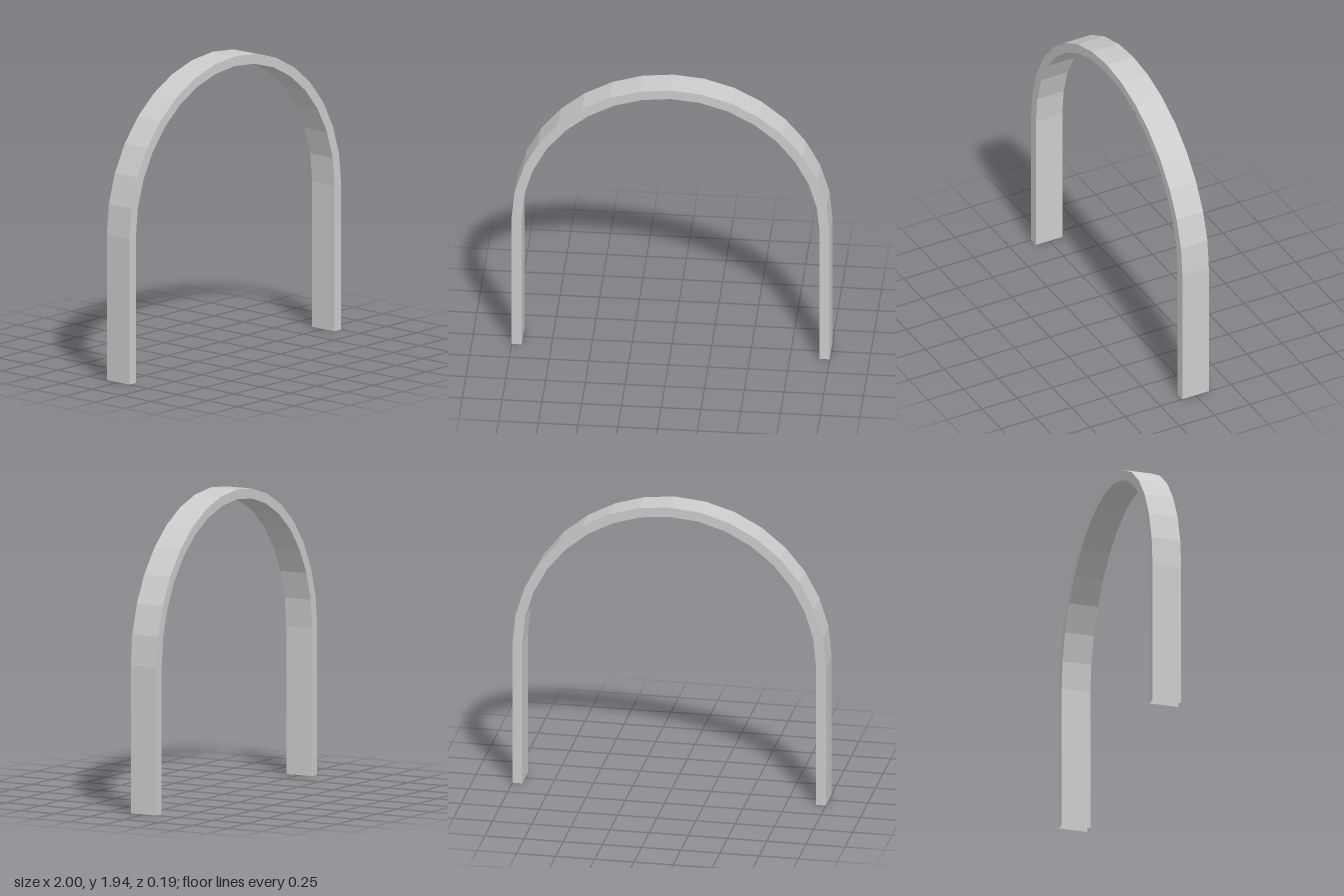
import * as THREE from 'three';

const OUTER = 1, INNER = 0.9375, SPRING = 0.9365, HALF_DEPTH = 0.094, SEGMENTS = 16;

// Sweeps a rectangular section along the arch; the feet stay open
function archGeometry() {
  const positions = [], index = [];
  const addSection = (angle, baseY) => {
    const c = Math.cos(angle), s = Math.sin(angle);
    for (const [r, z] of [[OUTER, 1], [OUTER, -1], [INNER, -1], [INNER, 1]])
      positions.push(r * c, baseY + r * s, z * HALF_DEPTH);
  };
  addSection(0, 0); // left foot
  for (let i = 0; i <= SEGMENTS; i++) addSection(Math.PI * i / SEGMENTS, SPRING);
  addSection(Math.PI, 0); // right foot

  const sections = SEGMENTS + 3;
  for (let i = 0; i < sections - 1; i++) {
    for (let j = 0; j < 4; j++) {
      const a = i * 4 + j, b = i * 4 + (j + 1) % 4;
      index.push(a, b, b + 4, a, b + 4, a + 4);
    }
  }
  const indexed = new THREE.BufferGeometry();
  indexed.setAttribute('position', new THREE.Float32BufferAttribute(positions, 3));
  indexed.setIndex(index);
  const geometry = indexed.toNonIndexed();
  geometry.computeVertexNormals();
  return geometry;
}

export function createModel() {
  const group = new THREE.Group();
  group.name = 'archway';
  const material = new THREE.MeshStandardMaterial({
    color: 0xcccccc, flatShading: true, side: THREE.DoubleSide,
  });
  const arch = new THREE.Mesh(archGeometry(), material);
  arch.name = 'archFrame';
  group.add(arch);
  return group;
}
